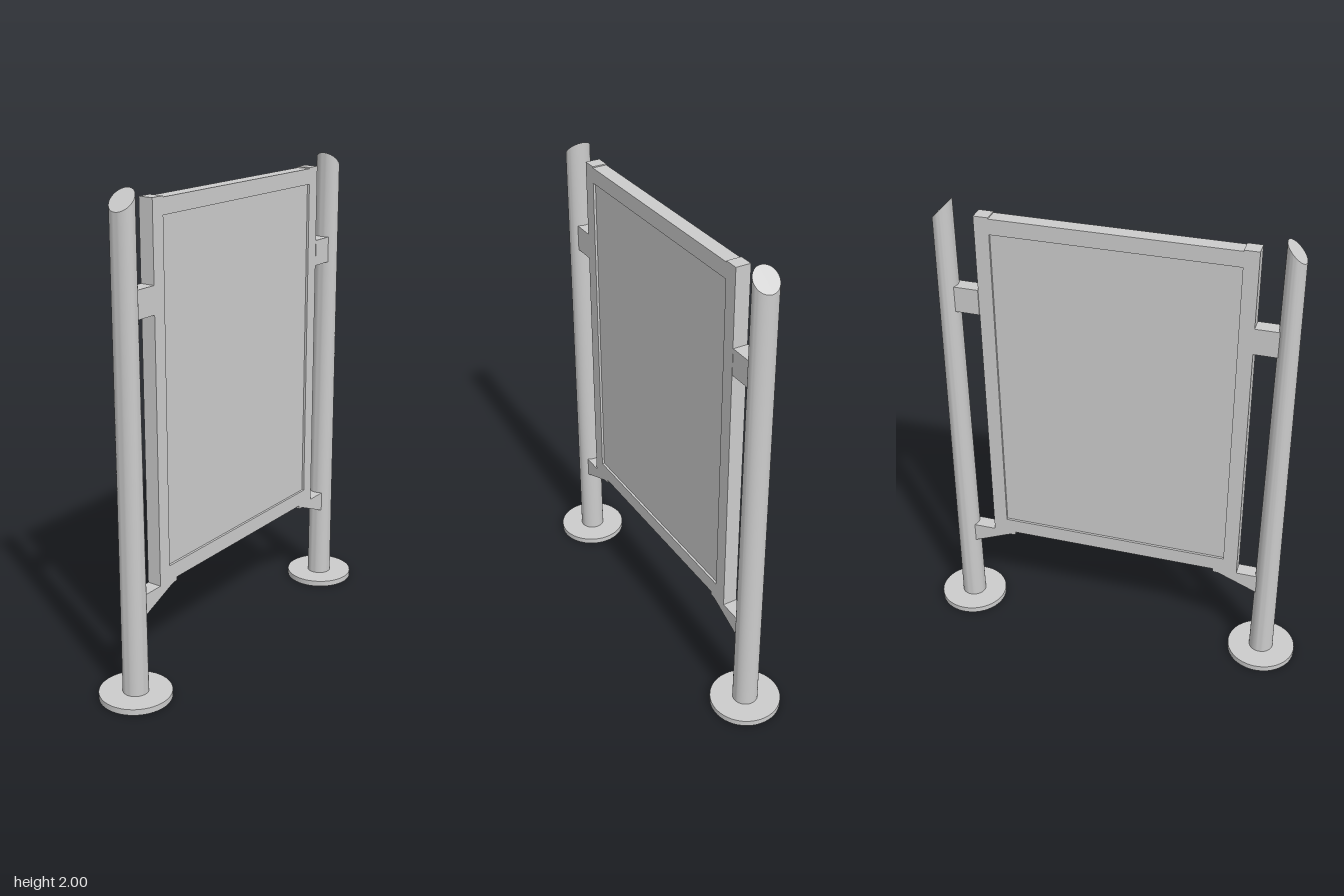
import * as THREE from 'three';
import { toCreasedNormals } from 'three/addons/utils/BufferGeometryUtils.js';

const grey = new THREE.MeshStandardMaterial({ color: 0xcccccc });

function part(name, geometry) {
  const mesh = new THREE.Mesh(geometry, grey);
  mesh.name = name;
  return mesh;
}

// Outline given as [z, y] points, thickened along x about the centre plane
function plate(points, thickness, hole) {
  const shape = new THREE.Shape(points.map(([z, y]) => new THREE.Vector2(z, y)));
  if (hole) shape.holes.push(new THREE.Path(hole.map(([z, y]) => new THREE.Vector2(z, y))));
  return new THREE.ExtrudeGeometry(shape, { depth: thickness, bevelEnabled: false })
    .translate(0, 0, -thickness / 2)
    .rotateY(-Math.PI / 2);
}

// Round post that flattens along z towards a slanted top, high on the inner side
function postGeometry() {
  const r = 0.0525, zTop = 0.039;
  const g = new THREE.CylinderGeometry(r, r, 1, 40, 1).translate(0, 0.5, 0);
  const p = g.attributes.position;
  for (let i = 0; i < p.count; i++) {
    if (p.getY(i) < 0.5) continue;
    const z = p.getZ(i) * zTop / r;
    p.setXYZ(i, p.getX(i), 2 - (z + zTop), z);
  }
  return toCreasedNormals(g, 0.6);
}

export function createModel() {
  const model = new THREE.Group();
  const T = 0.062, postZ = 0.683;

  // Framed board, its panel recessed on both faces
  const board = new THREE.Group();
  board.name = 'board';
  board.position.z = 0.004;
  const halfOutline = [[0.49, 1.95], [0.49, 1.955], [0.55, 1.955], [0.55, 0.435]];
  const outline = [...halfOutline, ...halfOutline.map(([z, y]) => [-z, y]).reverse()];
  const opening = [[-0.49, 0.5], [0.49, 0.5], [0.49, 1.885], [-0.49, 1.885]];
  board.add(part('frame', plate(outline, T, opening)));
  board.add(part('panel', new THREE.BoxGeometry(T - 0.02, 1.385, 0.98).translate(0, 1.1925, 0)));
  model.add(board);

  // Post, foot and brackets, turned round for the other end
  for (const [name, turn] of [['frontSupport', 0], ['backSupport', Math.PI]]) {
    const support = new THREE.Group();
    support.name = name;
    support.rotation.y = turn;

    const post = part('post', postGeometry());
    post.position.z = postZ;

    const foot = part('footPlate', toCreasedNormals(new THREE.CylinderGeometry(0.147, 0.147, 0.025, 48), 0.6));
    foot.position.set(0, 0.0125, postZ);

    const upper = part('upperBracket', new THREE.BoxGeometry(T, 0.11, 0.112));
    upper.position.set(0, 1.583, 0.604);

    const lower = part('lowerBracket', plate(
      [[0.45, 0.435], [0.45, 0.42], [0.475, 0.418], [0.655, 0.342], [0.655, 0.435]], T));

    support.add(post, foot, upper, lower);
    model.add(support);
  }
  return model;
}
